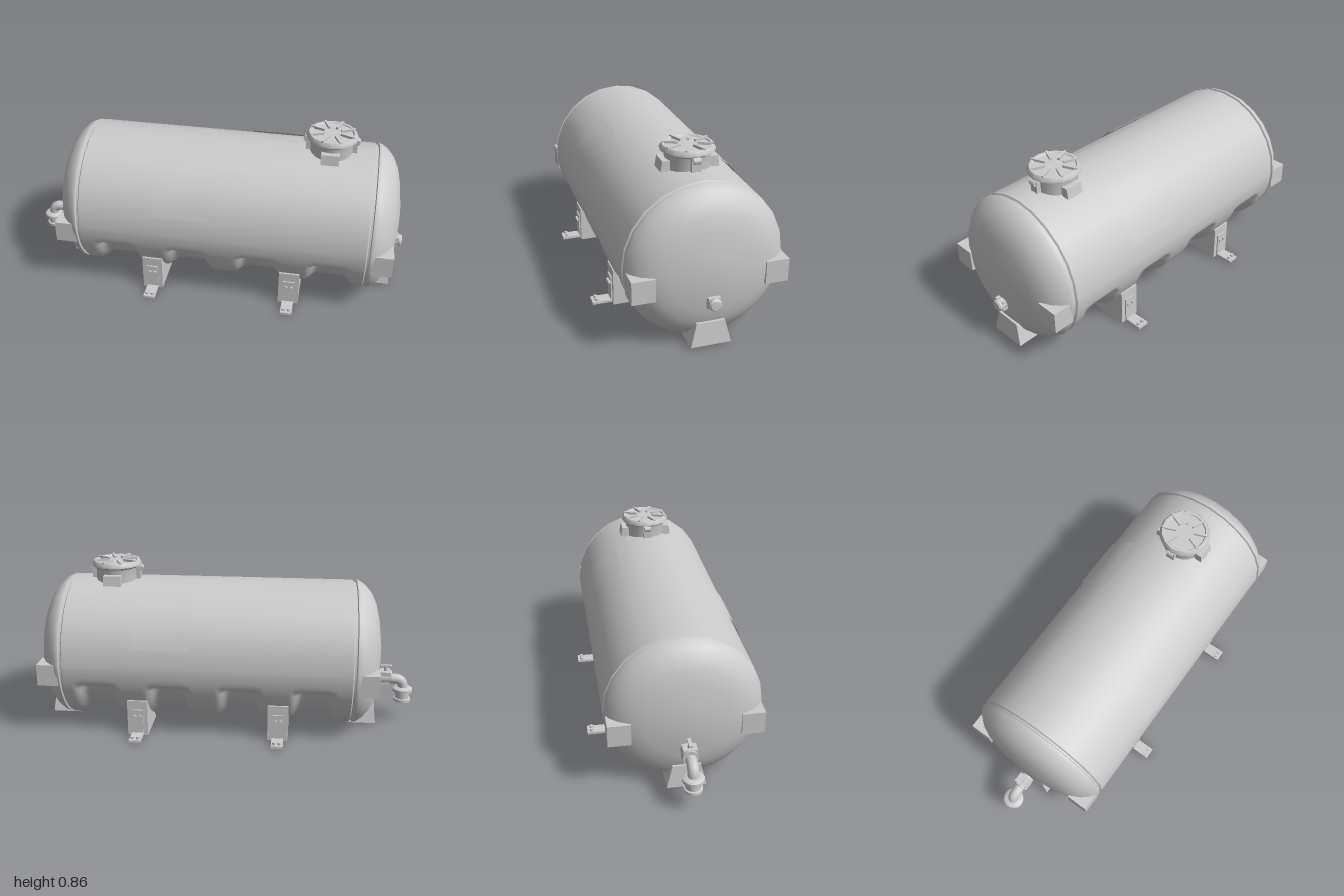
import * as THREE from 'three';
import { toCreasedNormals } from 'three/addons/utils/BufferGeometryUtils.js';

const CX = 0.075, CY = 0.385, R = 0.378, HALF = 0.89;
const rad = THREE.MathUtils.degToRad;
const grey = new THREE.MeshStandardMaterial({ color: 0xcccccc });
const greyDouble = new THREE.MeshStandardMaterial({ color: 0xcccccc, side: THREE.DoubleSide });

function add(parent, name, geometry, x = 0, y = 0, z = 0, material = grey) {
  const mesh = new THREE.Mesh(geometry, material);
  mesh.name = name;
  mesh.position.set(x, y, z);
  parent.add(mesh);
  return mesh;
}

function addBox(parent, name, x0, x1, y0, y1, z0, z1) {
  return add(parent, name, new THREE.BoxGeometry(x1 - x0, y1 - y0, z1 - z0),
    (x0 + x1) / 2, (y0 + y1) / 2, (z0 + z1) / 2);
}

function lathe(points, sides) {
  const pts = points.map(([r, y]) => new THREE.Vector2(r, y));
  return toCreasedNormals(new THREE.LatheGeometry(pts, sides), rad(35));
}

// Depth of the four slots that wrap under the belly
function slotDepth(x, deg) {
  const below = THREE.MathUtils.smoothstep(-deg, 14, 21) * THREE.MathUtils.smoothstep(180 + deg, 14, 21);
  if (below === 0) return 0;
  const low = THREE.MathUtils.clamp(-Math.sin(rad(deg)), 0, 1);
  let depth = 0;
  for (const c of [-0.47, -0.097, 0.268, 0.637]) {
    const d = Math.abs(x - c);
    depth = Math.max(depth, 1 - THREE.MathUtils.smoothstep(d, 0.065, 0.1 + 0.045 * low));
  }
  return 0.045 * depth * below;
}

// Tank skin: rings along x with domed ends, a groove near each end and the slots
function tankGeometry() {
  const end = [[0, 0], [0.001, 0.08], [0.018, 0.2], [0.034, 0.265], [0.058, 0.315], [0.09, 0.352],
    [0.12, 0.373], [0.135, R], [0.139, R], [0.143, 0.368], [0.152, 0.368], [0.158, R], [0.17, R]];
  const rings = end.map(([d, r]) => [CX - HALF + d, r]);
  const x0 = CX - HALF + 0.17, x1 = CX + HALF - 0.17, steps = 96;
  for (let i = 1; i < steps; i++) rings.push([x0 + (x1 - x0) * i / steps, R]);
  [...end].reverse().forEach(([d, r]) => rings.push([CX + HALF - d, r]));

  const angles = [];
  for (let a = -180; a < 180; a += a < 0 ? 3 : 15) angles.push(a);
  const n = angles.length, pos = [], index = [];
  rings.forEach(([x, r], i) => {
    angles.forEach((deg, j) => {
      const q = r - slotDepth(x, deg), a = rad(deg), k = (j + 1) % n;
      pos.push(x, CY + q * Math.sin(a), q * Math.cos(a));
      if (i < rings.length - 1) {
        const p = i * n, s = p + n;
        index.push(p + j, s + j, p + k, s + j, s + k, p + k);
      }
    });
  });
  const g = new THREE.BufferGeometry();
  g.setAttribute('position', new THREE.Float32BufferAttribute(pos, 3));
  g.setIndex(index);
  return toCreasedNormals(g, rad(50));
}

// Foot and side lugs filling the corners of a domed end (s = -1 right, 1 left)
function endLugs(parent, s) {
  const shape = new THREE.Shape([[-0.097, 0.01], [0.097, 0.01], [0.068, 0.125], [-0.068, 0.125]]
    .map(([x, y]) => new THREE.Vector2(x, y)));
  const foot = new THREE.ExtrudeGeometry(shape, { depth: 0.15, bevelEnabled: false });
  foot.rotateY(Math.PI / 2);
  // outer face leans inward toward its top
  const p = foot.attributes.position;
  for (let i = 0; i < p.count; i++) {
    const outer = s > 0 ? p.getX(i) > 0.1 : p.getX(i) < 0.05;
    if (outer && p.getY(i) > 0.1) p.setX(i, p.getX(i) - s * 0.012);
  }
  foot.computeVertexNormals();
  add(parent, 'endFoot', foot, CX + s * 0.88 - (s > 0 ? 0.15 : 0));
  for (const z of [-1, 1]) {
    const xs = [CX + s * 0.866, CX + s * 0.76].sort((a, b) => a - b);
    const zs = [z * 0.26, z * 0.37].sort((a, b) => a - b);
    addBox(parent, 'sideLug', xs[0], xs[1], 0.275, 0.387, zs[0], zs[1]);
  }
}

// Saddle block with a bolted angle bracket, built on the front side
function saddle(x) {
  const g = new THREE.Group();
  g.name = 'saddle';
  const shape = new THREE.Shape();
  shape.moveTo(0.1, 0.002);
  shape.lineTo(0.335, 0.002);
  shape.lineTo(0.335, 0.193);
  shape.lineTo(0.28, 0.193);
  shape.closePath();
  const block = new THREE.ExtrudeGeometry(shape, { depth: 0.105, bevelEnabled: false });
  block.rotateY(-Math.PI / 2);
  add(g, 'saddleBlock', block, x + 0.0525);
  addBox(g, 'bracketPlate', x - 0.03, x + 0.03, 0.005, 0.145, 0.33, 0.342);
  addBox(g, 'bracketFoot', x - 0.03, x + 0.03, 0.005, 0.018, 0.33, 0.435);
  for (const s of [-1, 1]) {
    const side = new THREE.CylinderGeometry(0.01, 0.01, 0.014, 8);
    side.rotateX(Math.PI / 2);
    add(g, 'plateBolt', side, x + s * 0.014, 0.11, 0.345);
    add(g, 'footBolt', new THREE.CylinderGeometry(0.01, 0.01, 0.014, 8), x + s * 0.014, 0.023, 0.412);
  }
  return g;
}

// Curved panel lying on the tank wall; turn = PI puts it on the back
function panel(parent, x, turn) {
  const g = new THREE.CylinderGeometry(0.385, 0.385, 0.283, 6, 1, true, rad(15.5), rad(45));
  g.rotateZ(-Math.PI / 2);
  // bring the arc to the front upper quarter
  const p = g.attributes.position;
  for (let i = 0; i < p.count; i++) {
    const a = rad(15.5 + 45 * (i % 7) / 6);
    p.setXYZ(i, i < 7 ? 0.1415 : -0.1415, 0.385 * Math.sin(a), 0.385 * Math.cos(a));
  }
  g.computeVertexNormals();
  add(parent, 'curvedPanel', g, x, CY, 0, greyDouble).rotation.y = turn;
}

function manhole() {
  const g = new THREE.Group();
  g.name = 'manhole';
  g.position.set(0.585, 0, 0);
  add(g, 'neck', lathe([[0.108, 0.72], [0.108, 0.81], [0.114, 0.83]], 24));
  add(g, 'lid', lathe([[0, 0.822], [0.114, 0.822], [0.13, 0.833], [0.13, 0.839],
    [0.119, 0.857], [0.108, 0.857], [0.103, 0.85], [0, 0.852]], 16));
  for (let i = 0; i < 8; i++) {
    const arm = new THREE.Group();
    arm.name = 'lidRibArm';
    arm.rotation.y = (i + 0.5) * Math.PI / 4;
    addBox(arm, 'lidRib', 0.045, 0.12, 0.846, 0.863, -0.006, 0.006);
    g.add(arm);
  }
  // Flared clamps on front and back, latches on the two sides
  const flare = new THREE.Shape([[0.09, 0.745], [0.142, 0.745], [0.134, 0.797], [0.09, 0.797]]
    .map(([x, y]) => new THREE.Vector2(x, y)));
  for (let i = 0; i < 2; i++) {
    const clamp = new THREE.ExtrudeGeometry(flare, { depth: 0.09, bevelEnabled: false });
    clamp.translate(0, 0, -0.045);
    add(g, 'flaredClamp', clamp).rotation.y = Math.PI / 2 + i * Math.PI;
    const latch = new THREE.Group();
    latch.name = 'latch';
    latch.rotation.y = i * Math.PI;
    addBox(latch, 'latchBase', 0.09, 0.128, 0.755, 0.825, -0.022, 0.022);
    const pin = new THREE.CylinderGeometry(0.016, 0.016, 0.034, 10);
    pin.rotateX(Math.PI / 2);
    add(latch, 'latchPin', pin, 0.126, 0.815, 0);
    g.add(latch);
  }
  return g;
}

function outlet() {
  const g = new THREE.Group();
  g.name = 'outlet';
  const along = (r, len, sides = 16) => new THREE.CylinderGeometry(r, r, len, sides).rotateZ(Math.PI / 2);
  add(g, 'valveBody', along(0.038, 0.07), -0.85, 0.24);
  addBox(g, 'valveBlock', -0.878, -0.824, 0.205, 0.278, -0.034, 0.034);
  add(g, 'valveStem', new THREE.CylinderGeometry(0.01, 0.01, 0.04, 8), -0.853, 0.29);
  addBox(g, 'valveHandle', -0.885, -0.825, 0.3, 0.309, -0.009, 0.009);
  const path = new THREE.CurvePath();
  const V = (x, y) => new THREE.Vector3(x, y, 0);
  path.add(new THREE.LineCurve3(V(-0.86, 0.233), V(-0.9, 0.233)));
  path.add(new THREE.QuadraticBezierCurve3(V(-0.9, 0.233), V(-0.948, 0.233), V(-0.948, 0.185)));
  path.add(new THREE.LineCurve3(V(-0.948, 0.185), V(-0.948, 0.16)));
  add(g, 'elbow', new THREE.TubeGeometry(path, 24, 0.027, 14));
  add(g, 'coupling', lathe([[0.03, 0.13], [0.03, 0.11], [0.045, 0.11], [0.045, 0.125], [0.037, 0.128],
    [0.037, 0.162], [0.052, 0.165], [0.052, 0.181], [0.04, 0.188], [0.025, 0.19]], 20),
  -0.948, 0, 0, greyDouble);
  return g;
}

export function createModel() {
  const model = new THREE.Group();
  model.name = 'storageTank';
  add(model, 'tankShell', tankGeometry());
  endLugs(model, 1);
  endLugs(model, -1);
  for (const x of [-0.29, 0.435]) {
    const front = saddle(x);
    const back = saddle(-x);
    back.rotation.y = Math.PI;
    model.add(front, back);
  }
  panel(model, -0.127, 0);
  panel(model, 0.303, Math.PI);
  model.add(manhole(), outlet());
  // Plug on the left end
  addBox(model, 'plugBase', 0.95, 0.98, 0.212, 0.268, -0.028, 0.028);
  const plug = lathe([[0.031, 0], [0.031, 0.035], [0.024, 0.043], [0, 0.045]], 12);
  add(model, 'plug', plug, 0.955, 0.24).rotation.z = -Math.PI / 2;
  return model;
}
